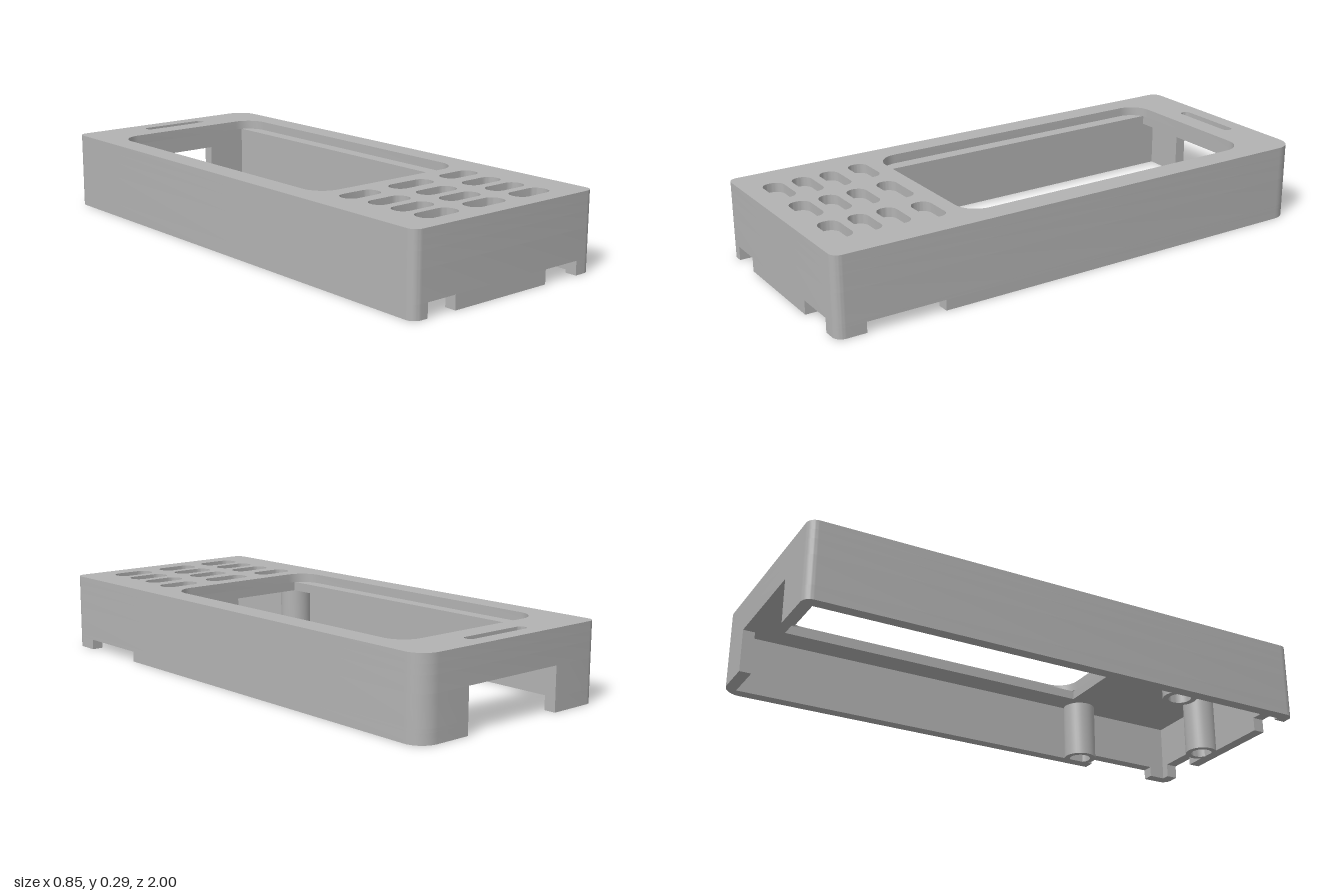
import * as THREE from 'three';
import { toCreasedNormals } from 'three/addons/utils/BufferGeometryUtils.js';

// Outline from [x, z, cornerRadius] points; corners are rounded with near-circular arcs
function trace(path, pts) {
  const n = pts.length, k = 0.448;
  pts.forEach(([x, z, r = 0], i) => {
    const p = new THREE.Vector2(x, -z);
    const toward = (q) => new THREE.Vector2(q[0], -q[1]).sub(p).normalize();
    const a = toward(pts[(i + n - 1) % n]), b = toward(pts[(i + 1) % n]);
    const at = (d, s) => p.clone().addScaledVector(d, s);
    const s = at(a, r), e = at(b, r), c1 = at(a, r * k), c2 = at(b, r * k);
    if (i === 0) path.moveTo(s.x, s.y); else path.lineTo(s.x, s.y);
    if (r) path.bezierCurveTo(c1.x, c1.y, c2.x, c2.y, e.x, e.y);
  });
  path.closePath();
  return path;
}

const rect = (x0, x1, z0, z1, r = 0) => [[x0, z0, r], [x0, z1, r], [x1, z1, r], [x1, z0, r]];

export function createModel() {
  const group = new THREE.Group();
  const grey = new THREE.MeshStandardMaterial({ color: 0xb3b3b3 });
  grey.name = 'grey plastic';

  const add = (name, geo) => {
    const mesh = new THREE.Mesh(toCreasedNormals(geo, 0.6), grey);
    mesh.name = name;
    group.add(mesh);
    return mesh;
  };
  // Horizontal slab between two heights
  const slab = (name, y0, y1, pts, holes = []) => {
    const shape = trace(new THREE.Shape(), pts);
    shape.holes = holes.map((h) => trace(new THREE.Path(), h));
    const geo = new THREE.ExtrudeGeometry(shape, { depth: y1 - y0, bevelEnabled: false, curveSegments: 10 });
    geo.rotateX(-Math.PI / 2).translate(0, y0, 0);
    return add(name, geo);
  };

  const X = 0.427, Z = 1, r = 0.035, R = 0.075, t = 0.045;
  const ix = X - t, iz = Z - t;
  const outline = [[-X, -Z, r], [-X, Z, r], [X, Z, r], [X, -Z, R]];

  // Face plate: window, key pockets and speaker slot
  const pockets = [rect(-0.145, 0.145, -0.94, -0.9, 0.019)];
  [[0.503, 0.58], [0.63, 0.705], [0.74, 0.815], [0.848, 0.928]].forEach(([z0, z1], row) => {
    const cols = row === 0
      ? [[-0.32, -0.16], [-0.095, 0.092], [0.155, 0.315]]
      : [[-0.305, -0.14], [-0.085, 0.08], [0.138, 0.3]];
    cols.forEach(([x0, x1]) => pockets.push(rect(x0, x1, z0, z1, 0.036)));
  });
  slab('facePlate', 0.26, 0.295, outline, [rect(-0.338, 0.335, -0.82, 0.443, 0.085), ...pockets]);

  // Backing plate closes the pockets and leaves a ledge along the window sides
  slab('backingPlate', 0.225, 0.26, outline, [rect(-0.285, 0.28, -0.82, 0.443)]);

  // Wall band under the plates, then the band open at the back
  slab('upperWall', 0.165, 0.225, outline, [rect(-ix, ix, -iz, iz)]);
  const b0 = -0.22, b1 = 0.213;
  slab('middleWall', 0.053, 0.165, [
    [b0, -Z], [-X, -Z, r], [-X, Z, r], [X, Z, r], [X, -Z, R], [b1, -Z],
    [b1, -iz], [ix, -iz], [ix, iz], [-ix, iz], [-ix, -iz], [b0, -iz],
  ]);

  // Lower wall pieces between the notches
  slab('rightLowerWall', 0, 0.053, [
    [b0, -Z], [-X, -Z, r], [-X, Z, r], [-0.365, Z],
    [-0.365, iz], [-ix, iz], [-ix, -iz], [b0, -iz],
  ]);
  slab('frontLowerWall', 0, 0.053, rect(-0.242, 0.19, iz, Z));
  slab('leftNotchedWall', 0.04, 0.053, [
    [0.35, Z], [X, Z, r], [X, -Z, R], [b1, -Z],
    [b1, -iz], [ix, -iz], [ix, iz], [0.35, iz],
  ]);
  slab('frontLeftFoot', 0, 0.04, [
    [0.35, Z], [X, Z, r], [X, 0.89], [ix, 0.89], [ix, iz], [0.35, iz],
  ]);
  slab('leftLowerWall', 0, 0.04, [
    [X, 0.59], [X, -Z, R], [b1, -Z], [b1, -iz], [ix, -iz], [ix, 0.59],
  ]);

  // Hollow screw posts
  const profile = [[0, 0.12], [0.042, 0.12], [0.042, 0], [0.064, 0], [0.064, 0.23]]
    .map(([x, y]) => new THREE.Vector2(x, y));
  [[-0.354, 0.515], [0.354, 0.515], [0.06, 0.92]].forEach(([x, z]) => {
    add('screwPost', new THREE.LatheGeometry(profile, 32)).position.set(x, 0, z);
  });

  return group;
}
